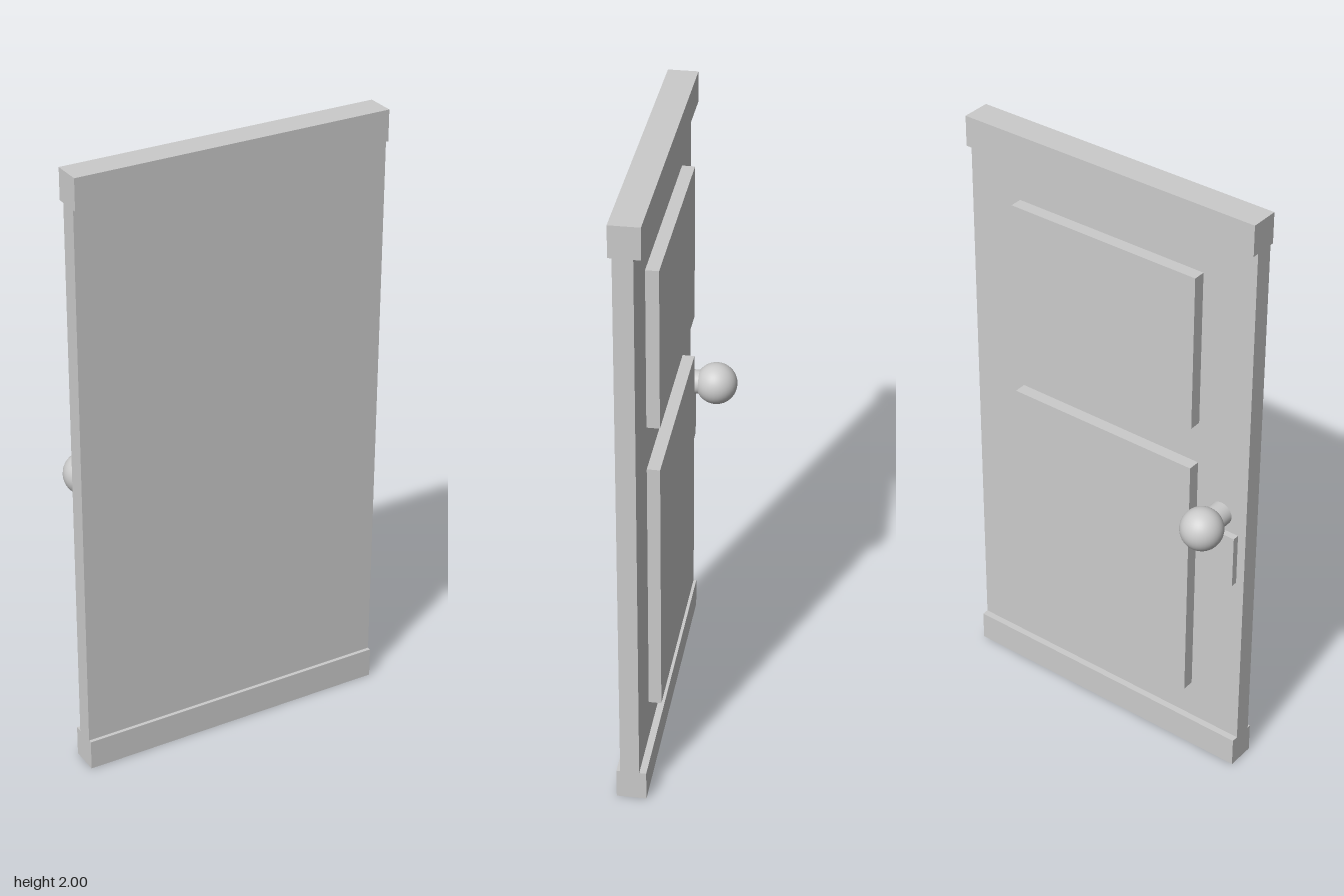
import * as THREE from 'three';

export function createModel() {
  const model = new THREE.Group();
  const material = new THREE.MeshStandardMaterial({ color: 0xcccccc });

  const add = (name, geometry, x, y, z) => {
    const mesh = new THREE.Mesh(geometry, material);
    mesh.name = name;
    mesh.position.set(x, y, z);
    model.add(mesh);
    return mesh;
  };
  // Box given by its extents along each axis
  const box = (name, [x0, x1], [y0, y1], [z0, z1]) =>
    add(name, new THREE.BoxGeometry(x1 - x0, y1 - y0, z1 - z0),
      (x0 + x1) / 2, (y0 + y1) / 2, (z0 + z1) / 2);

  const width = [-0.521, 0.521];
  const face = 0.046; // z of the slab's panelled face

  // Door slab with a thicker rail at each end
  box('doorSlab', width, [0.1, 1.9], [face, 0.106]);
  box('bottomRail', width, [0, 0.1], [0.024, 0.118]);
  box('topRail', width, [1.9, 2], [0.024, 0.118]);

  // Raised panels on the back
  box('lowerPanel', [-0.338, 0.336], [0.235, 1.105], [0.006, face]);
  box('upperPanel', [-0.338, 0.336], [1.25, 1.77], [0.006, face]);

  // Lock plate below the knob
  box('lockPlate', [-0.493, -0.36], [0.72, 0.9], [0.024, face]);

  // Round knob on a short stem
  const knobX = -0.428, knobY = 0.957;
  const stem = add('knobStem', new THREE.CylinderGeometry(0.039, 0.039, 0.066, 32), knobX, knobY, 0.013);
  stem.rotation.x = Math.PI / 2;
  add('knob', new THREE.SphereGeometry(0.068, 32, 24), knobX, knobY, -0.053);

  return model;
}
